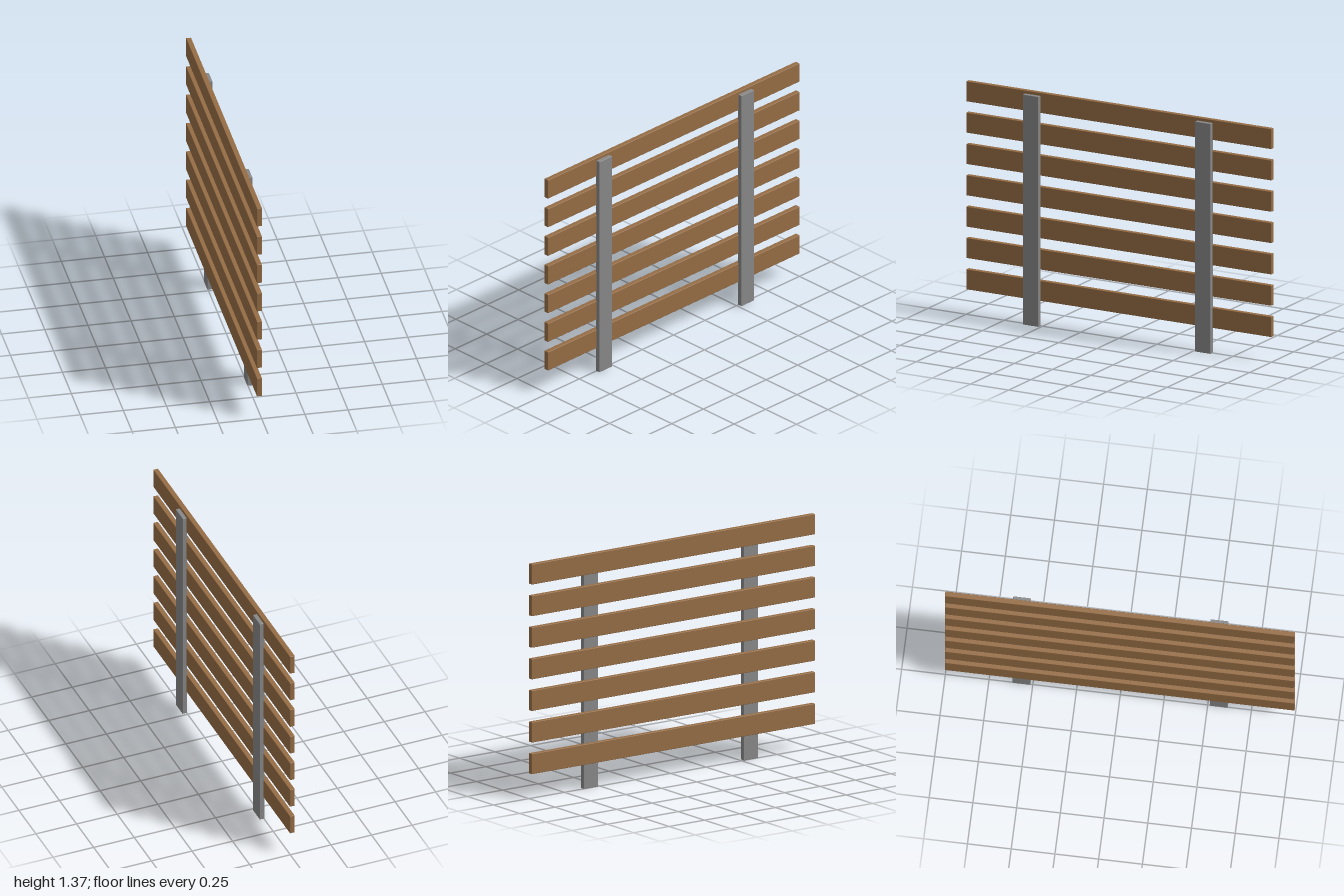
import * as THREE from 'three';
import { RoundedBoxGeometry } from 'three/addons/geometries/RoundedBoxGeometry.js';

export function createModel() {
  const group = new THREE.Group();
  group.name = 'slattedFence';
  const wood = new THREE.MeshStandardMaterial({ color: 0x966d45 });
  const metal = new THREE.MeshStandardMaterial({ color: 0x888888 });

  // Box with a tiny softened edge
  const addBoard = (name, material, size, position) => {
    const mesh = new THREE.Mesh(new RoundedBoxGeometry(...size, 1, 0.003), material);
    mesh.name = name;
    mesh.position.set(...position);
    group.add(mesh);
  };

  // Seven horizontal slats, evenly spaced
  const slatCount = 7;
  for (let i = 0; i < slatCount; i++) {
    addBoard(`slat${i + 1}`, wood, [0.03, 0.119, 2], [-0.013, 0.207 + i * 0.1847, 0]);
  }

  // Two upright posts, slightly let into the slats
  for (const side of [1, -1]) {
    addBoard(side > 0 ? 'frontPost' : 'backPost', metal,
      [0.03, 1.357, 0.102], [0.011, 0.6785, side * 0.564]);
  }

  return group;
}
